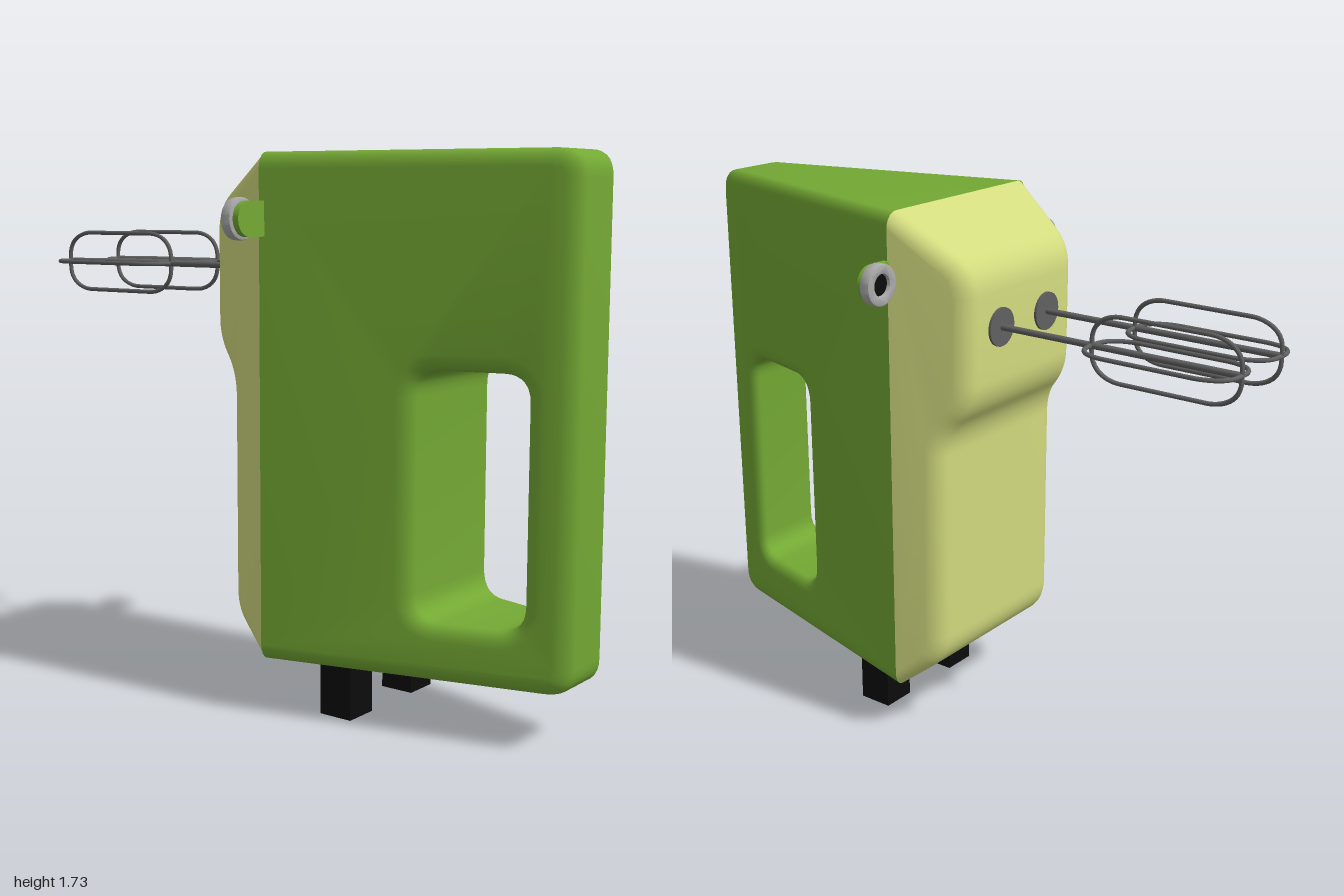
import * as THREE from 'three';
import { toCreasedNormals } from 'three/addons/utils/BufferGeometryUtils.js';

const mat = (color) => new THREE.MeshStandardMaterial({ color });
const SEAM = 0.06, HALF = 0.345; // widest section, where the two shells meet

// Closed path through [a, b, cornerLength] points with rounded corners
function roundedPath(points, path = new THREE.Path()) {
  const n = points.length;
  const toward = (p, q, d) => {
    const a = new THREE.Vector2(p[0], p[1]), b = new THREE.Vector2(q[0], q[1]);
    return b.sub(a).setLength(d).add(a);
  };
  points.forEach((p, i) => {
    const prev = points[(i + n - 1) % n], next = points[(i + 1) % n], r = p[2];
    const s = r ? toward(p, prev, r) : new THREE.Vector2(p[0], p[1]);
    if (i === 0) path.moveTo(s.x, s.y); else path.lineTo(s.x, s.y);
    if (r) {
      const e = toward(p, next, r);
      path.quadraticCurveTo(p[0], p[1], e.x, e.y);
    }
  });
  path.closePath();
  return path;
}

// Side profile (z, y) extruded across x, cut flat at the seam and tapered away from it
function shell(shape, side, taper, bevelThickness) {
  const depth = 2 * (HALF - bevelThickness);
  const g = new THREE.ExtrudeGeometry(shape, {
    depth, curveSegments: 7, bevelEnabled: true, bevelThickness,
    bevelSize: 0.05, bevelOffset: -0.05, bevelSegments: 5,
  });
  g.translate(0, 0, -depth / 2).rotateY(-Math.PI / 2);
  const pos = g.attributes.position;
  for (let i = 0; i < pos.count; i++) {
    const z = side > 0 ? Math.max(pos.getZ(i), SEAM) : Math.min(pos.getZ(i), SEAM);
    const x = pos.getX(i);
    pos.setXYZ(i, x - Math.sign(x) * taper * Math.abs(z - SEAM), pos.getY(i), z);
  }
  return toCreasedNormals(g, 0.6);
}

export function createModel() {
  const model = new THREE.Group();
  model.name = 'handMixer';
  const green = mat(0x74a934), cream = mat(0xd3db7f), black = mat(0x0c0c0c);
  const silver = mat(0xaaaaaa), steel = mat(0x606060);

  const add = (parent, name, geometry, material, x = 0, y = 0, z = 0) => {
    const m = new THREE.Mesh(geometry, material);
    m.name = name;
    m.position.set(x, y, z);
    parent.add(m);
    return m;
  };

  // Wedge-shaped body with the grip opening
  const body = roundedPath([
    [0.01, 0.175, 0], [1, 0.175, 0.08], [1, 1.73, 0.08], [0.01, 1.73, 0],
  ], new THREE.Shape());
  body.holes.push(roundedPath([
    [0.53, 0.35, 0.08], [0.53, 1.1, 0.08], [0.86, 1.1, 0.08], [0.86, 0.35, 0.08],
  ]));
  add(model, 'body', shell(body, 1, 0.253, 0.035), green);

  // Stepped cover carrying the beater sockets
  const cover = roundedPath([
    [0.11, 0.175, 0], [0.11, 1.73, 0], [0.06, 1.73, 0], [-0.185, 1.57, 0.08],
    [-0.185, 1.16, 0.065], [-0.095, 1.05, 0.065], [-0.095, 0.3, 0.07], [0.06, 0.175, 0],
  ], new THREE.Shape());
  add(model, 'cover', shell(cover, -1, 0.31, 0.045), cream);

  // Side lug: rounded tab with a ring and dark core behind it
  const tab = new THREE.Shape();
  tab.moveTo(-0.12, -0.053);
  tab.lineTo(0, -0.053);
  tab.absarc(0, 0, 0.053, -Math.PI / 2, Math.PI / 2);
  tab.lineTo(-0.12, 0.053);
  tab.closePath();
  const tabGeo = new THREE.ExtrudeGeometry(tab, { depth: 0.022, bevelEnabled: false, curveSegments: 20 });
  const ring = new THREE.Shape().absarc(0, 0, 0.058, 0, Math.PI * 2);
  ring.holes.push(new THREE.Path().absarc(0, 0, 0.038, 0, Math.PI * 2));
  const ringGeo = toCreasedNormals(new THREE.ExtrudeGeometry(ring, {
    depth: 0.025, bevelThickness: 0.005, bevelSize: 0.005, bevelSegments: 2, curveSegments: 20,
  }), 0.7);
  const coreGeo = new THREE.CylinderGeometry(0.042, 0.042, 0.02, 32).rotateX(Math.PI / 2);

  // Beater parts: shaft, socket collar and one wire loop in the xz plane
  const shaftGeo = new THREE.CylinderGeometry(0.01, 0.01, 0.83, 12).rotateX(Math.PI / 2);
  const collarGeo = new THREE.CylinderGeometry(0.06, 0.06, 0.03, 32).rotateX(Math.PI / 2);
  const outline = roundedPath([
    [-0.098, -0.58, 0.03], [-0.065, -0.511, 0.05], [0.065, -0.511, 0.05], [0.098, -0.58, 0.03],
    [0.098, -0.92, 0.03], [0.065, -0.993, 0.05], [-0.065, -0.993, 0.05], [-0.098, -0.92, 0.03],
  ]);
  const loopPoints = outline.getSpacedPoints(56).slice(0, -1).map((p) => new THREE.Vector3(p.x, 0, p.y));
  const loopGeo = new THREE.TubeGeometry(new THREE.CatmullRomCurve3(loopPoints, true), 96, 0.007, 8, true);

  for (const s of [1, -1]) {
    const side = s > 0 ? 'left' : 'right';

    const lug = new THREE.Group();
    lug.name = side + 'Lug';
    lug.position.set(s * 0.412, 1.533, 0);
    if (s < 0) lug.rotation.z = Math.PI;
    add(lug, 'lugTab', tabGeo, green, -0.005, 0, 0.055);
    add(lug, 'lugRing', ringGeo, silver, 0, 0, 0.026);
    add(lug, 'lugCore', coreGeo, black, 0, 0, 0.043);
    model.add(lug);

    const beater = new THREE.Group();
    beater.name = side + 'Beater';
    beater.position.set(s * 0.117, 1.38, 0);
    add(beater, 'collar', collarGeo, steel, 0, 0, -0.178);
    add(beater, 'shaft', shaftGeo, steel, 0, 0, -0.58);
    add(beater, 'flatLoop', loopGeo, steel);
    add(beater, 'uprightLoop', loopGeo, steel).rotation.z = Math.PI / 2;
    model.add(beater);

    add(model, side + 'Foot', new THREE.BoxGeometry(0.115, 0.2, 0.115), black, s * 0.168, 0.1, 0.258);
  }
  return model;
}
